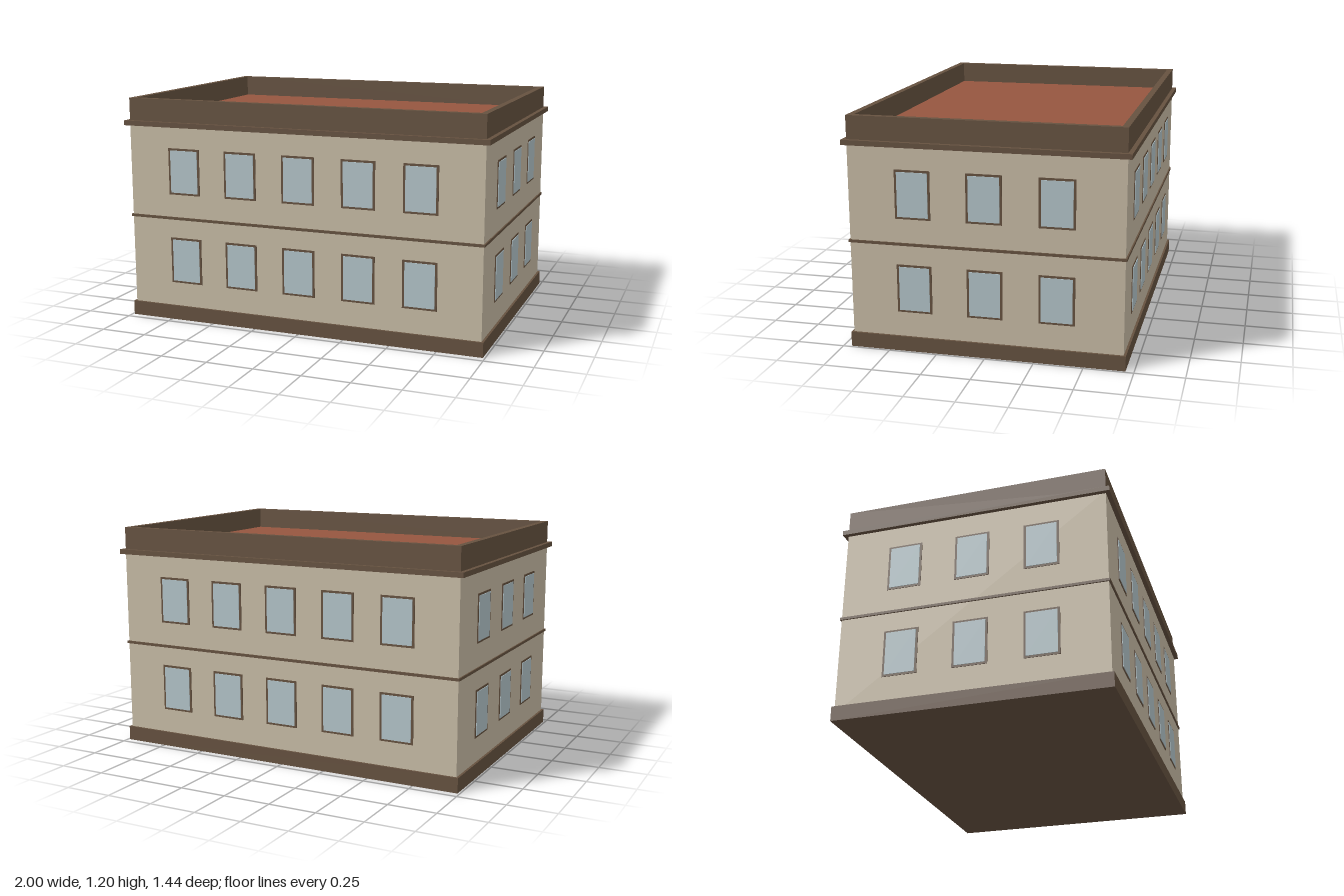
import * as THREE from 'three';

const mat = (name, color) => {
  const m = new THREE.MeshStandardMaterial({ color });
  m.name = name;
  return m;
};

export function createModel() {
  const wall = mat('stone wall', 0xc8bca6);
  const trim = mat('brown trim', 0x665240);
  const glass = mat('window glass', 0xb4c5ca);
  const roofing = mat('red roof', 0x965640);

  const building = new THREE.Group();
  building.name = 'building';
  const HX = 0.977, HZ = 0.696; // wall half sizes

  // Box spanning two heights, grown outward from the walls
  function slab(name, y0, y1, grow, material) {
    const geo = new THREE.BoxGeometry(2 * (HX + grow), y1 - y0, 2 * (HZ + grow));
    const mesh = new THREE.Mesh(geo, material);
    mesh.name = name;
    mesh.position.y = (y0 + y1) / 2;
    building.add(mesh);
  }

  slab('walls', 0.04, 1.07, 0, wall);
  slab('plinth', 0, 0.077, 0.012, trim);
  slab('floorBand', 0.556, 0.57, 0.007, trim);
  slab('cornice', 1.056, 1.082, 0.023, trim);
  slab('roof', 1.075, 1.086, -0.02, roofing);

  // Parapet: a rectangular ring raised around the roof
  const rect = (path, x, z) =>
    path.moveTo(-x, -z).lineTo(x, -z).lineTo(x, z).lineTo(-x, z).closePath();
  const ring = rect(new THREE.Shape(), HX, HZ);
  ring.holes.push(rect(new THREE.Path(), HX - 0.033, HZ - 0.033));
  const parapetGeo = new THREE.ExtrudeGeometry(ring, { depth: 0.125, bevelEnabled: false });
  parapetGeo.rotateX(-Math.PI / 2);
  const parapet = new THREE.Mesh(parapetGeo, trim);
  parapet.name = 'parapet';
  parapet.position.y = 1.077;
  building.add(parapet);

  // Windows: a thin frame plate with a glass pane on it
  const frameGeo = new THREE.BoxGeometry(0.182, 0.25, 0.006);
  const paneGeo = new THREE.BoxGeometry(0.158, 0.228, 0.006);
  function addWindow(side, x, y, z) {
    const win = new THREE.Group();
    win.name = 'window';
    const frame = new THREE.Mesh(frameGeo, trim);
    frame.name = 'windowFrame';
    const pane = new THREE.Mesh(paneGeo, glass);
    pane.name = 'windowPane';
    pane.position.z = 0.003;
    win.add(frame, pane);
    win.position.set(x, y, z);
    side.add(win);
  }

  // Two floors of windows on each of the four sides
  const sides = [
    ['frontWindows', 5, 0.328, HZ],
    ['leftWindows', 3, 0.363, HX],
    ['backWindows', 5, 0.328, HZ],
    ['rightWindows', 3, 0.363, HX],
  ];
  sides.forEach(([name, count, spacing, depth], i) => {
    const side = new THREE.Group();
    side.name = name;
    side.rotation.y = (i * Math.PI) / 2;
    for (const y of [0.331, 0.818]) {
      for (let k = 0; k < count; k++) {
        addWindow(side, (k - (count - 1) / 2) * spacing, y, depth);
      }
    }
    building.add(side);
  });

  return building;
}
